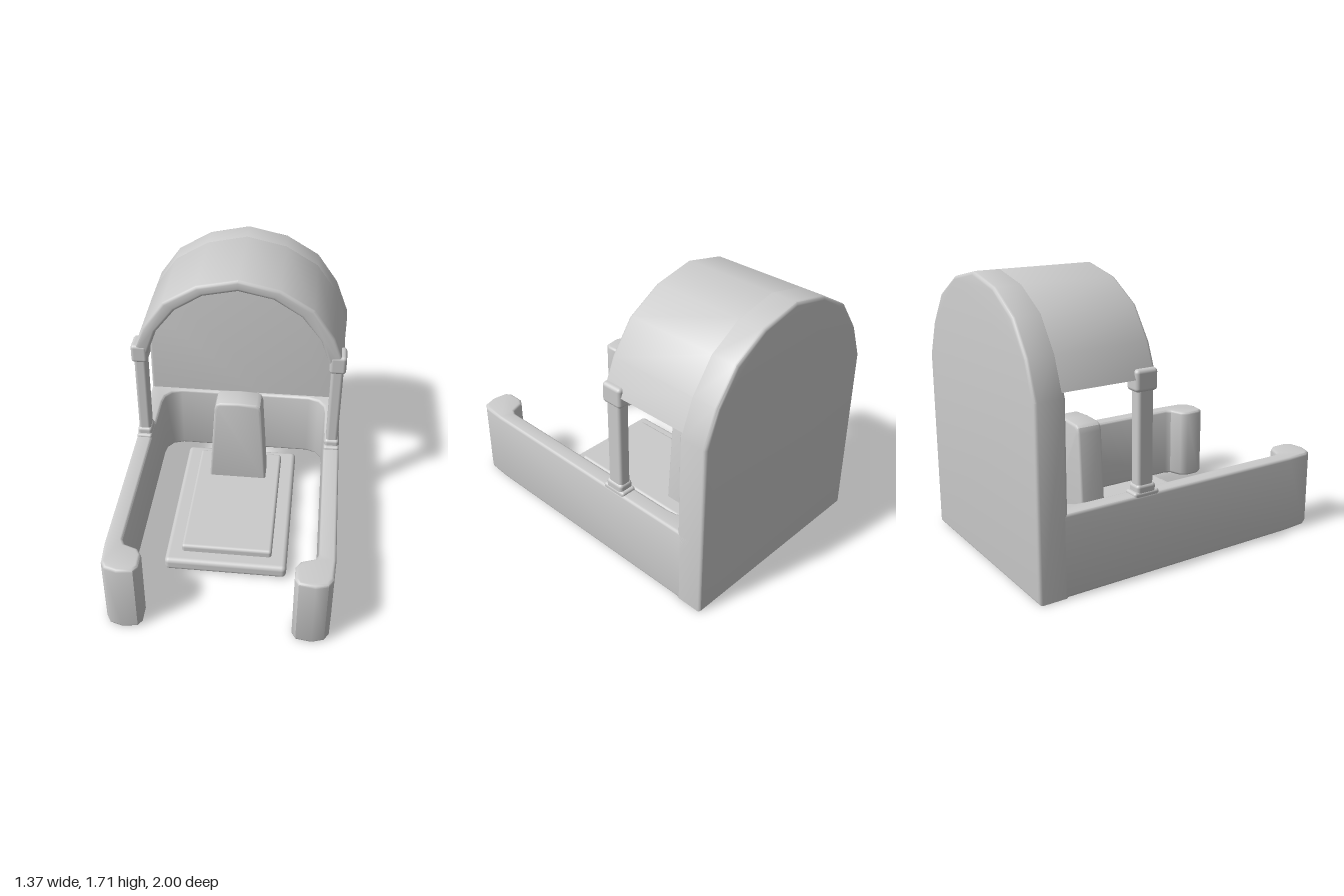
import * as THREE from 'three';
import { toCreasedNormals } from 'three/addons/utils/BufferGeometryUtils.js';
import { RoundedBoxGeometry } from 'three/addons/geometries/RoundedBoxGeometry.js';

const material = new THREE.MeshStandardMaterial({ color: 0xcccccc });

// Closed shape from half of a symmetric outline (x >= 0), mirrored across x = 0
function mirroredShape(half) {
  const other = half.filter(([x]) => x > 0).map(([x, y]) => [-x, y]).reverse();
  return new THREE.Shape([...half, ...other].map(([x, y]) => new THREE.Vector2(x, y)));
}

// Extrusion from 0 to depth whose bevel stays inside the outline
function bevelled(shape, depth, bevel) {
  const geometry = new THREE.ExtrudeGeometry(shape, {
    depth: depth - 2 * bevel, bevelEnabled: true, bevelThickness: bevel,
    bevelSize: bevel, bevelOffset: -bevel, bevelSegments: 3, curveSegments: 8,
  });
  return geometry.translate(0, 0, bevel);
}

export function createModel() {
  const model = new THREE.Group();
  model.name = 'canopiedEnclosure';

  const add = (name, geometry, x = 0, y = 0, z = 0) => {
    const mesh = new THREE.Mesh(geometry, material);
    mesh.name = name;
    mesh.position.set(x, y, z);
    model.add(mesh);
    return mesh;
  };
  const block = (name, x, [y0, y1], [z0, z1], width, radius) =>
    add(name, new RoundedBoxGeometry(width, y1 - y0, z1 - z0, 3, radius),
      x, (y0 + y1) / 2, (z0 + z1) / 2);

  // Faceted arch outlines, from the side up to the crown
  const outerArch = [[0.683, 1.125], [0.6, 1.34], [0.465, 1.53], [0.255, 1.655], [0, 1.71]];
  const innerArch = [[0, 1.635], [0.215, 1.59], [0.39, 1.48], [0.515, 1.32], [0.575, 1.155]];

  // Back wall: full arched slab
  const wall = bevelled(mirroredShape([[0.683, 0], ...outerArch]), 0.185, 0.02);
  add('backWall', toCreasedNormals(wall, 0.6), 0, 0, -1);

  // Canopy: arched shell reaching forward from the back wall
  const shell = mirroredShape([...innerArch, [0.672, 1.155], ...outerArch.slice(1)]);
  add('canopy', toCreasedNormals(bevelled(shell, 0.61, 0.02), 0.6), 0, 0, -0.85);

  // Low walls: U-shaped plan [x, z] with rounded inner corners and inturned ends
  const plan = [
    [0, -0.79], [0.46, -0.79], [0.53, -0.765], [0.57, -0.71], [0.58, -0.64],
    [0.58, 0.74], [0.563, 0.775], [0.48, 0.805], [0.45, 0.85], [0.45, 0.945],
    [0.475, 0.985], [0.57, 0.998], [0.645, 0.975], [0.672, 0.93], [0.683, 0.78],
    [0.683, -0.95], [0, -0.95],
  ];
  const low = bevelled(mirroredShape(plan.map(([x, z]) => [x, -z])), 0.49, 0.018);
  add('lowWalls', toCreasedNormals(low.rotateX(-Math.PI / 2), 0.75));

  // Front posts with a flared foot and head
  for (const [side, label] of [[1, 'left'], [-1, 'right']]) {
    const x = side * 0.631;
    block(label + 'Post', x, [0.46, 1.2], [-0.36, -0.255], 0.078, 0.02);
    block(label + 'PostFoot', x, [0.45, 0.548], [-0.368, -0.243], 0.094, 0.02);
    block(label + 'PostFootFlare', x, [0.44, 0.507], [-0.388, -0.222], 0.1, 0.015);
    block(label + 'PostHead', x, [1.083, 1.21], [-0.38, -0.237], 0.106, 0.022);
  }

  // Stepped base
  block('basePlate', 0, [0.01, 0.1], [-0.64, 0.52], 0.78, 0.03);
  block('baseStep', 0, [0.07, 0.148], [-0.55, 0.43], 0.58, 0.02);

  // Tapered upright slab
  const slab = mirroredShape([
    [0.195, 0.13], [0.157, 0.72], [0.146, 0.753], [0.122, 0.769], [0, 0.775],
  ]);
  add('uprightSlab', toCreasedNormals(bevelled(slab, 0.165, 0.016), 0.6), 0, 0, -0.44);

  return model;
}
